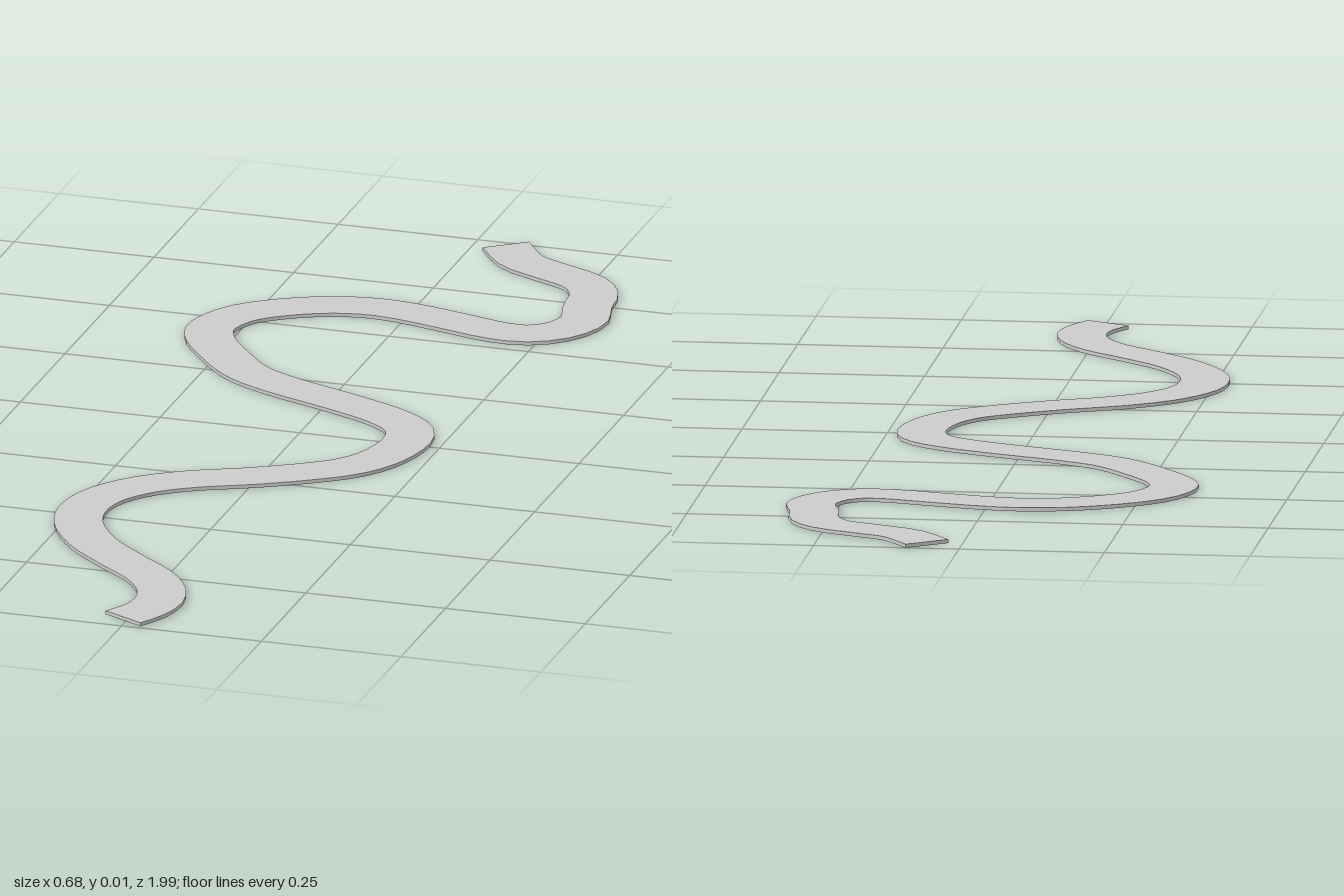
import * as THREE from 'three';
import { toCreasedNormals } from 'three/addons/utils/BufferGeometryUtils.js';

const WIDTH = 0.084;
const THICKNESS = 0.0065;
const SAMPLES = 120;

// Centre line of the winding strip, as [x, z]
const PATH = [
  [0.058, -0.975], [0.11, -0.907], [0.167, -0.877], [0.243, -0.838], [0.275, -0.79],
  [0.283, -0.728], [0.297, -0.659], [0.272, -0.6], [0.225, -0.568], [0.172, -0.567],
  [0.082, -0.59], [-0.008, -0.611], [-0.066, -0.615], [-0.135, -0.602], [-0.214, -0.563],
  [-0.272, -0.511], [-0.298, -0.437], [-0.283, -0.384], [-0.235, -0.315], [-0.172, -0.244],
  [-0.103, -0.204], [0.029, -0.151], [0.124, -0.106], [0.175, -0.062], [0.191, -0.003],
  [0.174, 0.085], [0.139, 0.144], [0.082, 0.19], [-0.008, 0.244], [-0.108, 0.294],
  [-0.177, 0.347], [-0.222, 0.415], [-0.234, 0.484], [-0.22, 0.552], [-0.167, 0.636],
  [-0.098, 0.701], [-0.024, 0.765], [0.015, 0.823], [0.027, 0.876], [0.019, 0.925],
  [-0.006, 0.973],
];

export function createModel() {
  const group = new THREE.Group();
  group.name = 'windingPath';

  // Offset the centre line to both sides; shape y becomes -z when laid flat
  const curve = new THREE.CatmullRomCurve3(PATH.map(([x, z]) => new THREE.Vector3(x, -z, 0)));
  const left = [], right = [];
  for (let i = 0; i <= SAMPLES; i++) {
    const p = curve.getPointAt(i / SAMPLES);
    const t = curve.getTangentAt(i / SAMPLES);
    const nx = -t.y * WIDTH / 2, ny = t.x * WIDTH / 2;
    left.push(new THREE.Vector2(p.x + nx, p.y + ny));
    right.push(new THREE.Vector2(p.x - nx, p.y - ny));
  }
  const outline = new THREE.Shape([...left, ...right.reverse()]);

  // Thin slab with square ends and smooth bends
  let slab = new THREE.ExtrudeGeometry(outline, { depth: THICKNESS, bevelEnabled: false });
  slab.rotateX(-Math.PI / 2);
  slab = toCreasedNormals(slab, Math.PI / 5);

  const strip = new THREE.Mesh(slab, new THREE.MeshStandardMaterial({ color: 0xcccccc }));
  strip.name = 'pathStrip';
  group.add(strip);
  return group;
}
